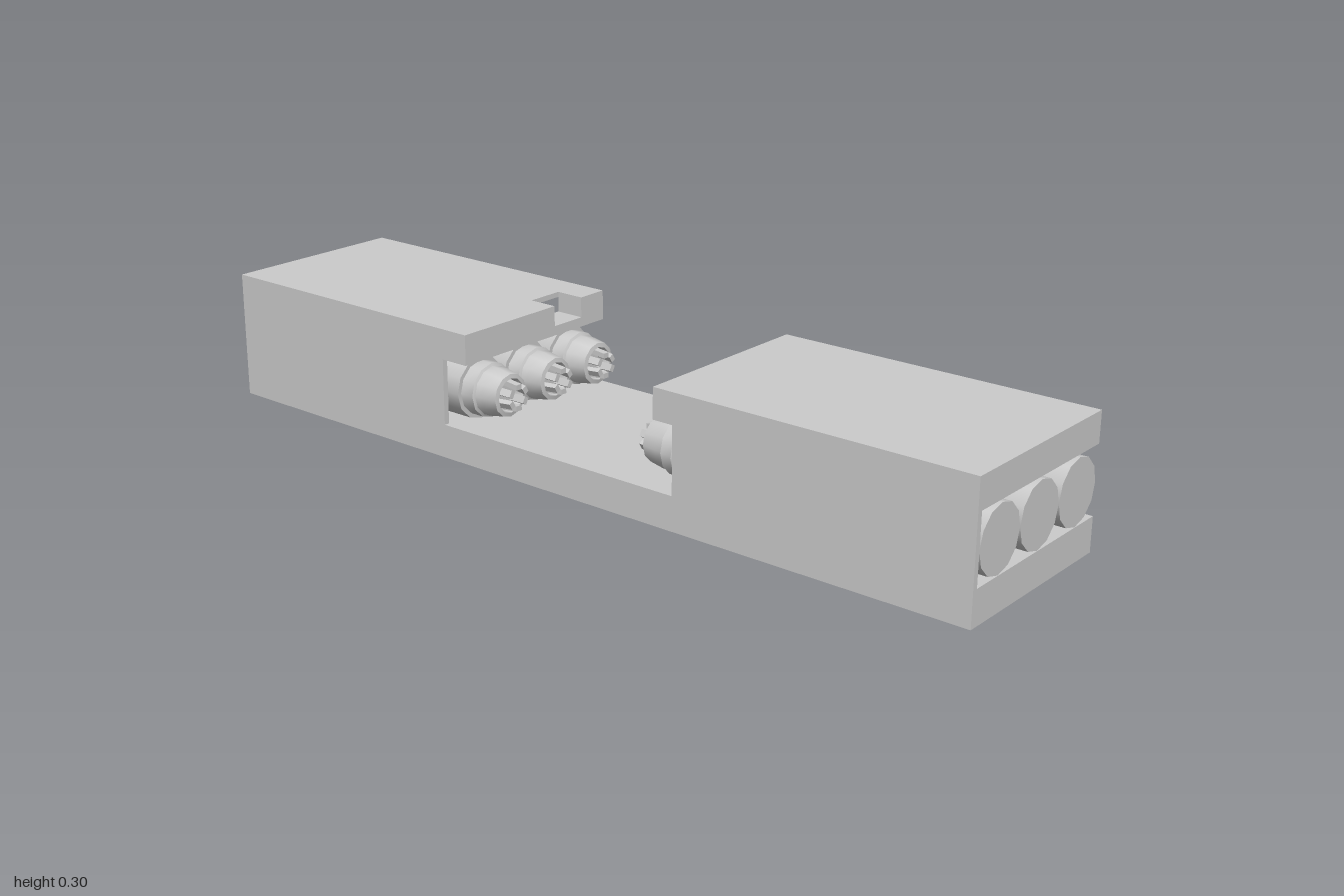
import * as THREE from 'three';
import { toCreasedNormals } from 'three/addons/utils/BufferGeometryUtils.js';

const BASE_Y = 0.077, SLAB_Y = 0.228, TOP_Y = 0.297;
const BACK = -0.225, INNER = 0.212, FRONT = 0.225;
const TUBE_R = 0.072;

export function createModel() {
  const group = new THREE.Group();
  const material = new THREE.MeshStandardMaterial({ color: 0xcccccc });

  const add = (name, geometry, parent = group) => {
    const mesh = new THREE.Mesh(geometry, material);
    mesh.name = name;
    parent.add(mesh);
    return mesh;
  };
  const box = (name, x0, x1, y0, y1, z0, z1) =>
    add(name, new THREE.BoxGeometry(x1 - x0, y1 - y0, z1 - z0)
      .translate((x0 + x1) / 2, (y0 + y1) / 2, (z0 + z1) / 2));
  const polygon = (Type, points) => new Type(points.map(([x, y]) => new THREE.Vector2(x, y)));

  // Section given as (z, y) points, swept along x
  const sweepX = (name, points, x0, x1, hole) => {
    const flip = (list) => list.map(([z, y]) => [-z, y]);
    const shape = polygon(THREE.Shape, flip(points));
    if (hole) shape.holes.push(polygon(THREE.Path, flip(hole)));
    const geometry = new THREE.ExtrudeGeometry(shape, { depth: x1 - x0, bevelEnabled: false });
    return add(name, geometry.rotateY(Math.PI / 2).translate(x0, 0, 0));
  };

  // Housing: floor, and a front wall stepped around the central opening
  box('floor', -1, 1, 0, BASE_Y, BACK, INNER);
  const wall = polygon(THREE.Shape, [
    [-1, 0], [1, 0], [1, TOP_Y], [0.26, TOP_Y], [0.26, SLAB_Y], [0.31, SLAB_Y],
    [0.31, BASE_Y], [-0.33, BASE_Y], [-0.33, SLAB_Y], [-0.26, SLAB_Y], [-0.26, TOP_Y], [-1, TOP_Y],
  ]);
  add('frontWall', new THREE.ExtrudeGeometry(wall, { depth: FRONT - INNER, bevelEnabled: false })
    .translate(0, 0, INNER));

  // Roofs: the right one has a cable duct that opens into a notch
  box('leftRoof', 0.26, 1, SLAB_Y, TOP_Y, BACK, INNER);
  const n0 = -0.15, n1 = -0.06, ductY = 0.25;
  sweepX('rightRoof',
    [[BACK, SLAB_Y], [INNER, SLAB_Y], [INNER, TOP_Y], [BACK, TOP_Y]], -1, -0.33,
    [[n0, ductY], [n1, ductY], [n1, 0.285], [n0, 0.285]]);
  sweepX('notchedRoofEnd',
    [[BACK, SLAB_Y], [INNER, SLAB_Y], [INNER, TOP_Y], [n1, TOP_Y],
      [n1, ductY], [n0, ductY], [n0, TOP_Y], [BACK, TOP_Y]], -0.33, -0.26);

  // Tube with stepped collar and a hollow nozzle, standing along y
  const makeTube = (length) => {
    const tube = new THREE.Group();
    const profile = [
      [0, 0], [TUBE_R, 0], [TUBE_R, length], [0.062, length],
      [0.062, length + 0.034], [0.056, length + 0.037], [0.055, length + 0.055],
      [0.049, length + 0.09], [0.039, length + 0.092], [0.037, length + 0.07], [0, length + 0.07],
    ].map(([r, y]) => new THREE.Vector2(r, y));
    add('tubeBody', toCreasedNormals(new THREE.LatheGeometry(profile, 12), 0.6), tube);

    // Crown of prongs around the nozzle mouth
    for (let i = 0; i < 6; i++) {
      const prong = new THREE.BoxGeometry(0.012, 0.046, 0.016);
      const p = prong.attributes.position;
      for (let k = 0; k < p.count; k++) if (p.getY(k) > 0) p.setX(k, p.getX(k) - 0.005);
      prong.computeVertexNormals();
      add('nozzleProng', prong.translate(0.029, length + 0.092, 0).rotateY(i * Math.PI / 3), tube);
    }
    return tube;
  };

  // Three tubes on each side, nozzles facing the middle
  for (const z of [0.14, -0.005, -0.15]) {
    for (const side of [-1, 1]) {
      const tube = makeTube(side < 0 ? 0.7 : 0.705);
      tube.name = side < 0 ? 'rightTube' : 'leftTube';
      tube.rotation.z = side * Math.PI / 2;
      tube.position.set(side, 0.15, z);
      group.add(tube);
    }
  }
  return group;
}
